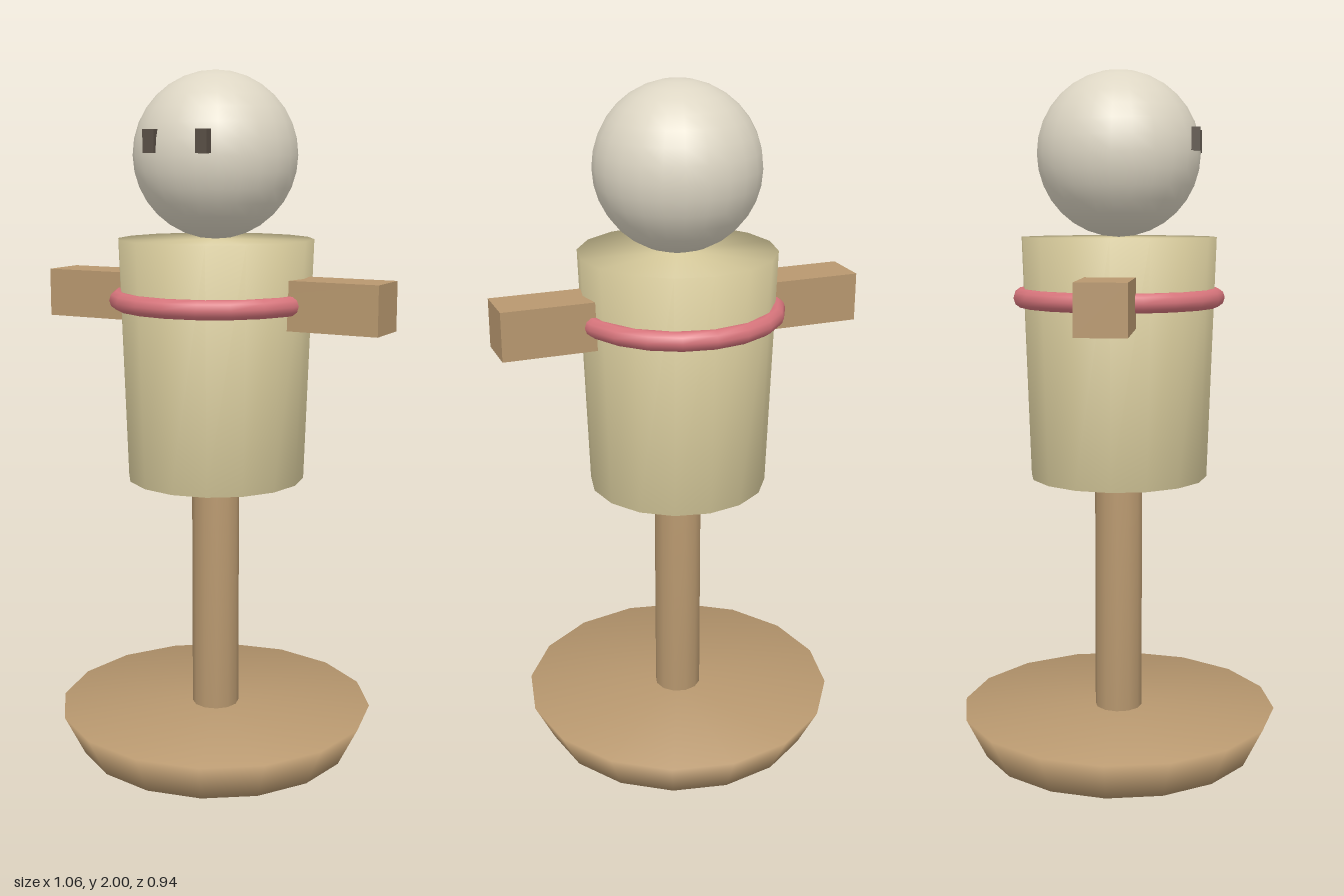
import * as THREE from 'three';
import { mergeVertices } from 'three/addons/utils/BufferGeometryUtils.js';

const paint = (name, color) => {
  const m = new THREE.MeshStandardMaterial({ color });
  m.name = name;
  return m;
};

// Welds cap and side corners so the normals run smoothly over the rims
function softened(geometry) {
  geometry.deleteAttribute('normal');
  geometry.deleteAttribute('uv');
  const welded = mergeVertices(geometry, 1e-4);
  welded.computeVertexNormals();
  return welded;
}

const drum = (top, bottom, y0, y1, sides) =>
  softened(new THREE.CylinderGeometry(top, bottom, y1 - y0, sides).translate(0, (y0 + y1) / 2, 0));

export function createModel() {
  const wood = paint('wood', 0xb8986f);
  const straw = paint('straw', 0xddd0a0);
  const cloth = paint('pale cloth', 0xddd6c4);
  const rope = paint('red rope', 0xd6747b);
  const dark = paint('dark brown', 0x594f45);

  const model = new THREE.Group();
  model.name = 'trainingDummy';
  const add = (name, geometry, material, x = 0, y = 0, z = 0) => {
    const mesh = new THREE.Mesh(geometry, material);
    mesh.name = name;
    mesh.position.set(x, y, z);
    model.add(mesh);
    return mesh;
  };

  // Stand
  add('base', drum(0.47, 0.41, 0, 0.12, 16), wood);
  add('post', drum(0.07, 0.07, 0, 0.88, 12), wood);

  // Torso with the crossbar through it and a rope around it
  add('torso', drum(0.283, 0.26, 0.83, 1.53, 16), straw);
  add('crossbar', new THREE.BoxGeometry(1.06, 0.14, 0.14), wood, 0, 1.357, 0);
  const ring = new THREE.TorusGeometry(0.28, 0.028, 10, 20).rotateX(Math.PI / 2);
  add('ropeRing', ring, rope, 0, 1.357, 0);

  // Head and eyes
  add('head', new THREE.SphereGeometry(0.235, 24, 16), cloth, 0, 1.765, 0);
  for (const [name, side] of [['leftEye', 1], ['rightEye', -1]]) {
    add(name, new THREE.BoxGeometry(0.035, 0.064, 0.024), dark, side * 0.082, 1.803, 0.223);
  }

  return model;
}
